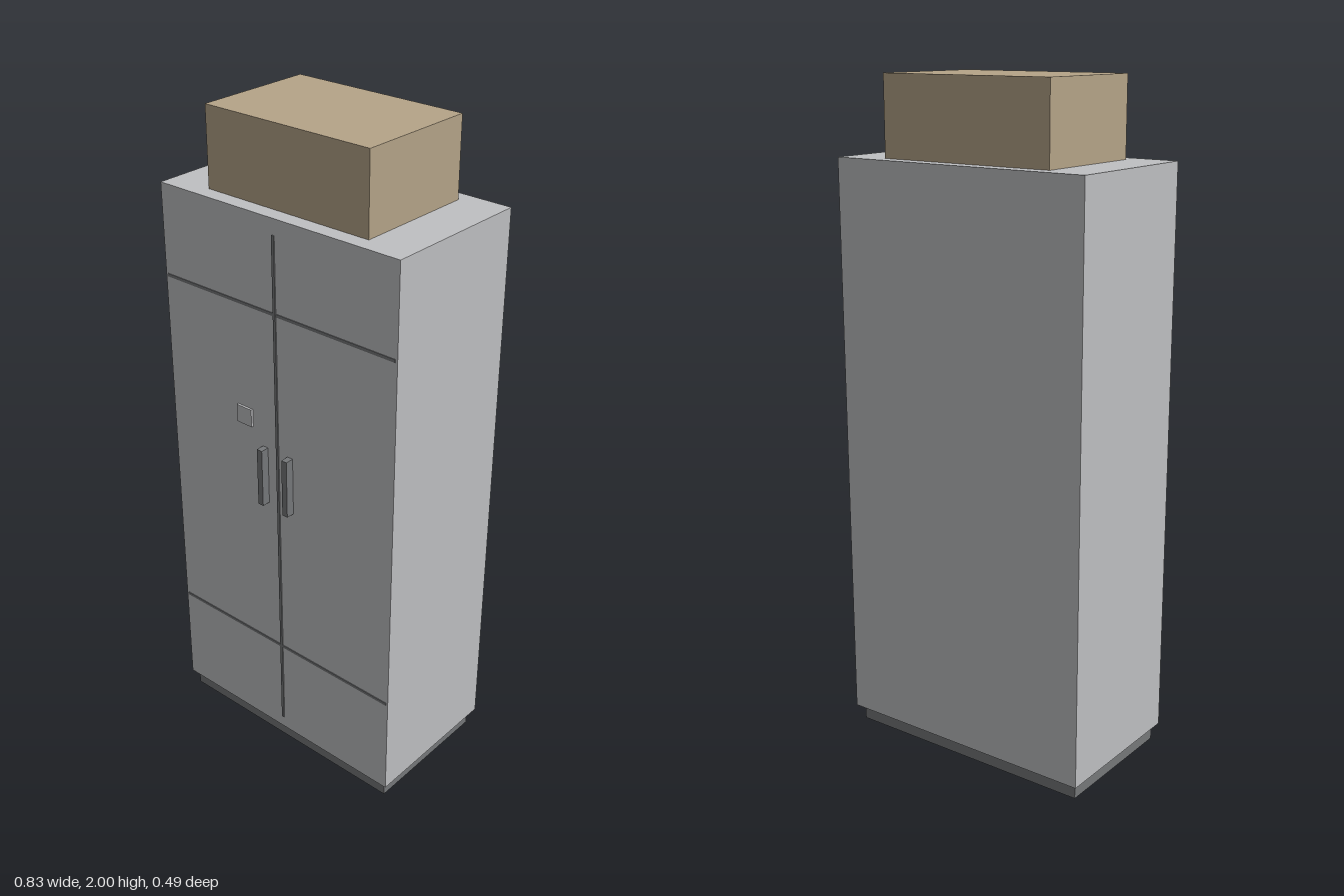
import * as THREE from 'three';

export function createModel() {
  const material = (name, color) => {
    const m = new THREE.MeshStandardMaterial({ color });
    m.name = name;
    return m;
  };
  const paintedMetal = material('light grey metal', 0xbfc0c2);
  const darkTrim = material('dark grey trim', 0x76787a);
  const cardboard = material('cardboard', 0xb5a488);

  const group = new THREE.Group();
  group.name = 'cabinet';

  // Adds a box given its extents along each axis
  const addBox = (name, mat, [x0, x1], [y0, y1], [z0, z1]) => {
    const mesh = new THREE.Mesh(new THREE.BoxGeometry(x1 - x0, y1 - y0, z1 - z0), mat);
    mesh.position.set((x0 + x1) / 2, (y0 + y1) / 2, (z0 + z1) / 2);
    mesh.name = name;
    group.add(mesh);
  };

  const front = 0.218;

  // Recessed base, cabinet body and the box stored on top
  addBox('plinth', darkTrim, [-0.4, 0.4], [0, 0.05], [-0.224, 0.202]);
  addBox('body', paintedMetal, [-0.417, 0.417], [0.05, 1.768], [-0.247, front]);
  addBox('topBox', cardboard, [-0.279, 0.279], [1.768, 2], [-0.202, 0.17]);

  // Door seams
  addBox('centreSeam', darkTrim, [-0.0045, 0.0045], [0.09, 1.722], [front - 0.002, front + 0.003]);
  for (const [name, y] of [['lowerSeam', 0.377], ['upperSeam', 1.496]]) {
    addBox(name, darkTrim, [-0.41, 0.41], [y - 0.0045, y + 0.0045], [front - 0.002, front + 0.002]);
  }

  // Mirrored handles
  for (const [name, x] of [['rightHandle', -0.047], ['leftHandle', 0.047]]) {
    addBox(name, darkTrim, [x - 0.0095, x + 0.0095], [0.887, 1.07], [front, 0.244]);
  }

  // Small square plate on the right door
  addBox('doorPlate', paintedMetal, [-0.149, -0.093], [1.12, 1.175], [front, 0.225]);

  return group;
}
